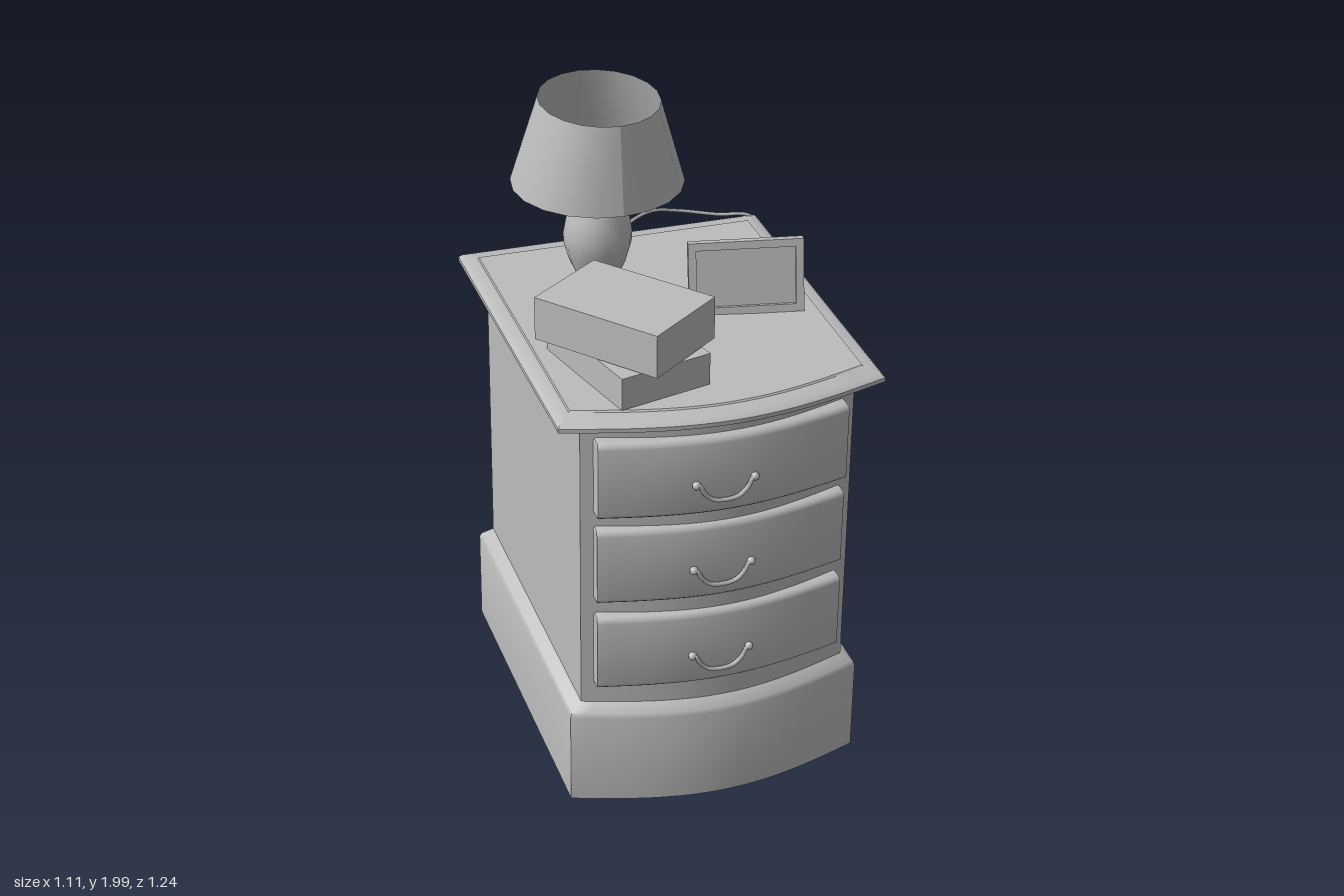
import * as THREE from 'three';
import { toCreasedNormals } from 'three/addons/utils/BufferGeometryUtils.js';

const grey = new THREE.MeshStandardMaterial({ color: 0xbcbcbc, side: THREE.DoubleSide });
grey.name = 'plain grey';

const CX = -0.065; // centre line of the cabinet

function add(parent, name, geometry, x = 0, y = 0, z = 0) {
  const mesh = new THREE.Mesh(geometry, grey);
  mesh.name = name;
  mesh.position.set(x, y, z);
  parent.add(mesh);
  return mesh;
}

// Stack of bow-fronted outlines; each ring is [y, halfWidth, frontCornerZ, backZ, bow]
function bowedLoft(rings, capped = true) {
  const N = 20, M = 2 * (N + 1), pos = [], idx = [];
  for (const [y, hw, zf, zb, bow] of rings) {
    for (let i = 0; i <= N; i++) {
      const t = -1 + 2 * i / N;
      pos.push(t * hw, y, zf + bow * Math.cos(t * Math.PI / 2));
    }
    for (let i = N; i >= 0; i--) pos.push((-1 + 2 * i / N) * hw, y, zb);
  }
  for (let r = 0; r < rings.length - 1; r++) {
    for (let i = 0; i < M; i++) {
      const a = r * M + i, b = r * M + (i + 1) % M;
      idx.push(a, b, b + M, a, b + M, a + M);
    }
  }
  const top = (rings.length - 1) * M;
  for (let i = 0; capped && i < N; i++) {
    const f = i, g = i + 1, bf = M - 1 - i, bg = M - 2 - i;
    idx.push(top + f, top + g, top + bg, top + f, top + bg, top + bf);
    idx.push(f, bg, g, f, bf, bg);
  }
  const geo = new THREE.BufferGeometry();
  geo.setAttribute('position', new THREE.Float32BufferAttribute(pos, 3));
  geo.setIndex(idx);
  return toCreasedNormals(geo, 0.75);
}

function lathe(points, segments) {
  const geo = new THREE.LatheGeometry(points.map(p => new THREE.Vector2(...p)), segments);
  return toCreasedNormals(geo, 0.9);
}

function tube(points, radius, segments) {
  const curve = new THREE.CatmullRomCurve3(points.map(p => new THREE.Vector3(...p)));
  return new THREE.TubeGeometry(curve, segments, radius, 6);
}

function buildCabinet(parent) {
  const cabinet = new THREE.Group();
  cabinet.name = 'cabinet';
  cabinet.position.x = CX;
  parent.add(cabinet);

  // Plinth, open underneath, with a sloped moulding
  add(cabinet, 'plinth', bowedLoft([
    [0, 0.455, 0.44, -0.605, 0.1],
    [0.3, 0.455, 0.44, -0.605, 0.1],
    [0.314, 0.45, 0.435, -0.6, 0.1],
    [0.338, 0.415, 0.416, -0.58, 0.09],
  ], false));
  // Carcass walls with a floor set a little above the plinth
  add(cabinet, 'carcass', bowedLoft([
    [0.338, 0.415, 0.416, -0.58, 0.09],
    [1.31, 0.415, 0.416, -0.58, 0.09],
  ], false));
  add(cabinet, 'carcassFloor', bowedLoft([
    [0.43, 0.413, 0.414, -0.578, 0.089],
    [0.44, 0.413, 0.414, -0.578, 0.089],
  ]));

  // Top board with rounded lip and raised panel
  add(cabinet, 'topBoard', bowedLoft([
    [1.293, 0.435, 0.43, -0.59, 0.09],
    [1.303, 0.475, 0.453, -0.62, 0.095],
    [1.309, 0.491, 0.462, -0.633, 0.098],
    [1.322, 0.491, 0.462, -0.633, 0.098],
    [1.333, 0.48, 0.452, -0.622, 0.095],
    [1.337, 0.444, 0.408, -0.576, 0.088],
    [1.342, 0.441, 0.404, -0.573, 0.088],
  ]));

  // Drawers with softened edges and bail handles
  for (const [y, dz] of [[0.534, -0.003], [0.834, -0.006], [1.129, 0.003]]) {
    const drawer = new THREE.Group();
    drawer.name = 'drawer';
    drawer.position.set(0, y, dz);
    cabinet.add(drawer);
    const h = 0.127;
    const half = [[h, 0.37, 0.446], [h - 0.003, 0.377, 0.46], [h - 0.01, 0.38, 0.468], [h - 0.02, 0.379, 0.471]];
    const rings = [
      ...half.map(([v, hw, zf]) => [-v, hw, zf, 0.4, 0.06]),
      ...half.reverse().map(([v, hw, zf]) => [v, hw, zf, 0.4, 0.06]),
    ];
    add(drawer, 'drawerFront', bowedLoft(rings));
    const handle = new THREE.Group();
    handle.name = 'handle';
    handle.position.set(-0.017, -0.022, 0.525);
    drawer.add(handle);
    add(handle, 'bail', tube([
      [-0.095, 0.002, 0.008], [-0.08, 0.002, 0.013], [-0.065, -0.025, 0.014], [-0.04, -0.048, 0.015],
      [0, -0.055, 0.015], [0.04, -0.048, 0.015], [0.065, -0.025, 0.014], [0.08, 0.002, 0.013], [0.095, 0.002, 0.008],
    ], 0.007, 32));
    for (const s of [-1, 1]) {
      add(handle, 'rosette', new THREE.SphereGeometry(0.013, 10, 8), s * 0.088, 0.002, 0.008);
    }
  }
}

function buildLamp(parent) {
  const lamp = new THREE.Group();
  lamp.name = 'lamp';
  lamp.position.set(-0.195, 0, -0.337);
  parent.add(lamp);
  add(lamp, 'lampBase', lathe([
    [0, 1.344], [0.06, 1.344], [0.066, 1.362], [0.089, 1.415], [0.103, 1.465], [0.105, 1.5],
    [0.096, 1.55], [0.073, 1.61], [0.049, 1.665], [0.041, 1.7], [0.034, 1.72],
    [0.018, 1.73], [0.018, 1.77], [0, 1.775],
  ], 14));
  // The shade narrows to an oval opening
  const shade = new THREE.CylinderGeometry(0.18, 0.262, 0.272, 20, 1, true);
  const p = shade.attributes.position;
  for (let i = 0; i < p.count; i++) {
    if (p.getY(i) > 0) p.setZ(i, p.getZ(i) * 1.17 + 0.014);
    else p.setZ(i, p.getZ(i) - 0.002);
  }
  shade.computeVertexNormals();
  add(lamp, 'lampShade', shade, 0, 1.808, 0);
}

function buildBooks(parent) {
  const lower = add(parent, 'lowerBook', new THREE.BoxGeometry(0.293, 0.1, 0.42), -0.275, 1.392, 0.214);
  lower.rotation.set(-0.01, 0.24, 0);
  const upper = add(parent, 'upperBook', new THREE.BoxGeometry(0.293, 0.132, 0.42), -0.29, 1.513, 0.233);
  upper.rotation.set(-0.022, 0.66, 0);
}

function rectangle(Path, w, h) {
  return new Path([[-1, -1], [1, -1], [1, 1], [-1, 1]].map(([x, y]) => new THREE.Vector2(x * w / 2, y * h / 2)));
}

function buildPictureFrame(parent) {
  const frame = new THREE.Group();
  frame.name = 'pictureFrame';
  frame.position.set(0.168, 1.45, -0.019);
  frame.rotation.set(-0.18, -0.23, 0.022, 'YXZ');
  parent.add(frame);
  const shape = rectangle(THREE.Shape, 0.345, 0.226);
  shape.holes.push(rectangle(THREE.Path, 0.297, 0.178));
  add(frame, 'frameBorder', new THREE.ExtrudeGeometry(shape, { depth: 0.028, bevelEnabled: false }), 0, 0, -0.014);
  add(frame, 'picture', new THREE.BoxGeometry(0.3, 0.18, 0.008), 0, 0, -0.002);
}

function buildCord(parent) {
  add(parent, 'powerCord', tube([
    [-0.16, 1.41, -0.34], [-0.11, 1.42, -0.41], [-0.04, 1.443, -0.485], [0.06, 1.453, -0.545], [0.17, 1.42, -0.595],
    [0.3, 1.395, -0.58], [0.4, 1.387, -0.555], [0.455, 1.3, -0.55], [0.475, 1.15, -0.585],
    [0.48, 0.95, -0.612], [0.5, 0.8, -0.585], [0.552, 0.63, -0.54], [0.51, 0.48, -0.48],
    [0.45, 0.32, -0.42], [0.47, 0.17, -0.37], [0.5, 0.1, -0.345], [0.505, 0.075, -0.27],
    [0.49, 0.085, -0.19], [0.478, 0.05, -0.1], [0.475, 0.045, -0.06],
  ], 0.006, 140));
  // Two-pin plug
  const plug = new THREE.Group();
  plug.name = 'plug';
  plug.position.set(0.472, 0.044, -0.03);
  parent.add(plug);
  const body = new THREE.Shape([[-0.012, -0.045], [0.012, -0.045], [0.028, -0.015], [0.028, 0.02], [-0.028, 0.02], [-0.028, -0.015]]
    .map(p => new THREE.Vector2(...p)));
  const geo = new THREE.ExtrudeGeometry(body, { depth: 0.018, bevelEnabled: false });
  geo.rotateX(Math.PI / 2);
  add(plug, 'plugBody', geo, 0, 0.009, 0);
  for (const s of [-1, 1]) {
    add(plug, 'plugPin', new THREE.BoxGeometry(0.007, 0.006, 0.034), s * 0.014, 0, 0.033);
  }
}

export function createModel() {
  const model = new THREE.Group();
  model.name = 'nightstand';
  // The furniture and everything on it leans slightly forward
  const leaning = new THREE.Group();
  leaning.name = 'leaningFurniture';
  leaning.position.y = 0.026;
  leaning.rotation.x = 0.048;
  model.add(leaning);
  buildCabinet(leaning);
  buildLamp(leaning);
  buildBooks(leaning);
  buildPictureFrame(leaning);
  buildCord(model);
  return model;
}
